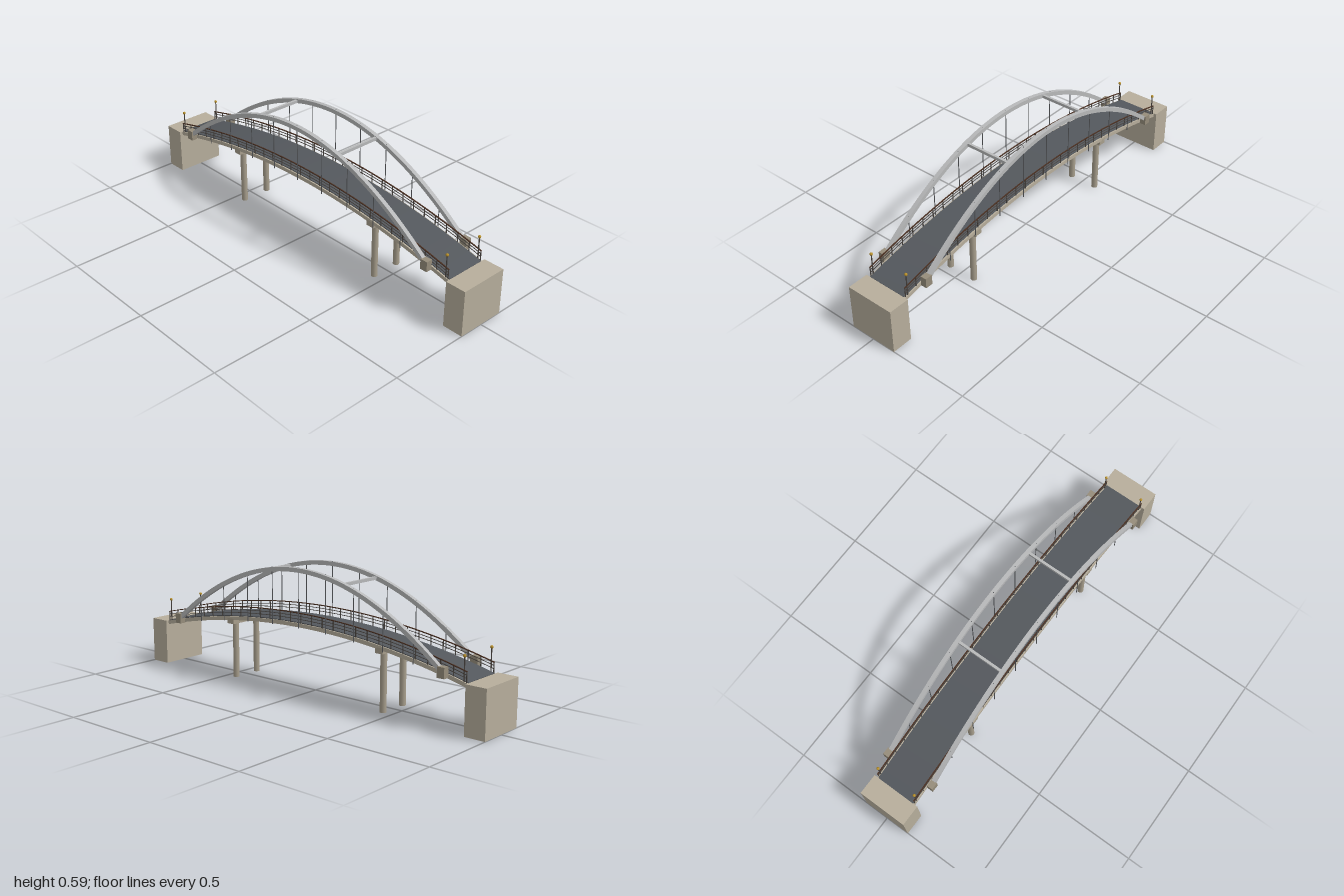
import * as THREE from 'three';

const mat = (color, extra = {}) => new THREE.MeshStandardMaterial({ color, ...extra });

// Height of the road surface and of the arch centre line along z
const road = z => 0.337 - 0.115 * (z / 0.9) ** 2;
const arch = z => 0.25 + 0.331 * (1 - (z / 0.79) ** 2);

// Bar of constant section following a curve y(z), kept square to the curve
function bentBar(width, height, halfLength, curve, segments = 48) {
  const geo = new THREE.BoxGeometry(width, height, 2 * halfLength, 1, 1, segments);
  const p = geo.attributes.position;
  for (let i = 0; i < p.count; i++) {
    const z = p.getZ(i), off = p.getY(i);
    const slope = (curve(z + 0.001) - curve(z - 0.001)) / 0.002;
    const len = Math.hypot(1, slope);
    p.setY(i, curve(z) + off / len);
    p.setZ(i, z - off * slope / len);
  }
  geo.computeVertexNormals();
  return geo;
}

export function createModel() {
  const root = new THREE.Group();
  root.name = 'archBridge';

  const concrete = mat(0xb7ae9c);
  const pierStone = mat(0xa89f8d);
  const anchorStone = mat(0x968d7b);
  const asphalt = mat(0x54585d);
  const steel = mat(0xb8b9ba);
  const cable = mat(0x55575a);
  const railMetal = mat(0x4a4541);
  const handrailWood = mat(0x4a3022);
  const gold = mat(0xb8902c);

  const add = (name, geo, material, x = 0, y = 0, z = 0, parent = root) => {
    const m = new THREE.Mesh(geo, material);
    m.name = name;
    m.position.set(x, y, z);
    parent.add(m);
    return m;
  };
  const box = (w, h, d) => new THREE.BoxGeometry(w, h, d);

  // Deck slab and road surface
  add('deckSlab', bentBar(0.21, 0.018, 0.9, z => road(z) - 0.013), concrete);
  add('roadSurface', bentBar(0.196, 0.004, 0.9, z => road(z) - 0.002), asphalt);

  // Abutments, piers and cross beams at both ends
  for (const end of [1, -1]) {
    add('abutment', box(0.24, 0.22, 0.1), concrete, 0, 0.11, end * 0.95);

    const pier = new THREE.Group();
    pier.name = 'pier';
    root.add(pier);
    const z = end * 0.45;
    add('pierCap', box(0.21, 0.026, 0.04), pierStone, 0, 0.281, z, pier);
    for (const side of [1, -1]) {
      add('pierColumn', new THREE.CylinderGeometry(0.015, 0.015, 0.27, 12), pierStone,
        side * 0.07, 0.135, z, pier);
    }

    add('archCrossBeam', box(0.222, 0.014, 0.012), steel, 0, arch(0.26), end * 0.26);
  }

  for (const side of [1, -1]) {
    // Arch rib with its anchor blocks
    const rib = new THREE.Group();
    rib.name = 'archSide';
    root.add(rib);
    const x = side * 0.12;
    add('archRib', bentBar(0.02, 0.02, 0.79, arch, 64), steel, x, 0, 0, rib);
    for (const end of [1, -1]) {
      add('archAnchor', box(0.03, 0.048, 0.036), anchorStone, side * 0.122, 0.251, end * 0.79, rib);
    }

    // Vertical hangers from arch to deck edge
    for (let i = -4; i <= 4; i++) {
      const z = i * 0.16;
      const top = arch(z) + 0.011, bottom = road(z) - 0.022;
      add('hanger', new THREE.CylinderGeometry(0.002, 0.002, top - bottom, 8), cable,
        side * 0.118, (top + bottom) / 2, z, rib);
    }

    // Railing: handrail, two lower rails and posts
    const railing = new THREE.Group();
    railing.name = 'railing';
    root.add(railing);
    const rx = side * 0.101;
    add('handrail', bentBar(0.005, 0.004, 0.895, z => road(z) + 0.043), handrailWood, rx, 0, 0, railing);
    for (const h of [0.015, 0.029]) {
      add('lowerRail', bentBar(0.0025, 0.0025, 0.895, z => road(z) + h), railMetal, rx, 0, 0, railing);
    }
    const posts = 28;
    for (let i = 0; i <= posts; i++) {
      const z = -0.893 + (1.786 * i) / posts;
      add('railingPost', box(0.0035, 0.05, 0.0035), railMetal, rx, road(z) + 0.018, z, railing);
    }

    // Lamp posts at the bridge ends
    for (const end of [1, -1]) {
      const lamp = new THREE.Group();
      lamp.name = 'lamp';
      lamp.position.set(side * 0.1, 0, end * 0.88);
      root.add(lamp);
      add('lampPost', new THREE.CylinderGeometry(0.0025, 0.003, 0.11, 8), railMetal, 0, 0.272, 0, lamp);
      add('lampGlobe', new THREE.SphereGeometry(0.007, 12, 8), gold, 0, 0.33, 0, lamp);
    }
  }
  return root;
}
